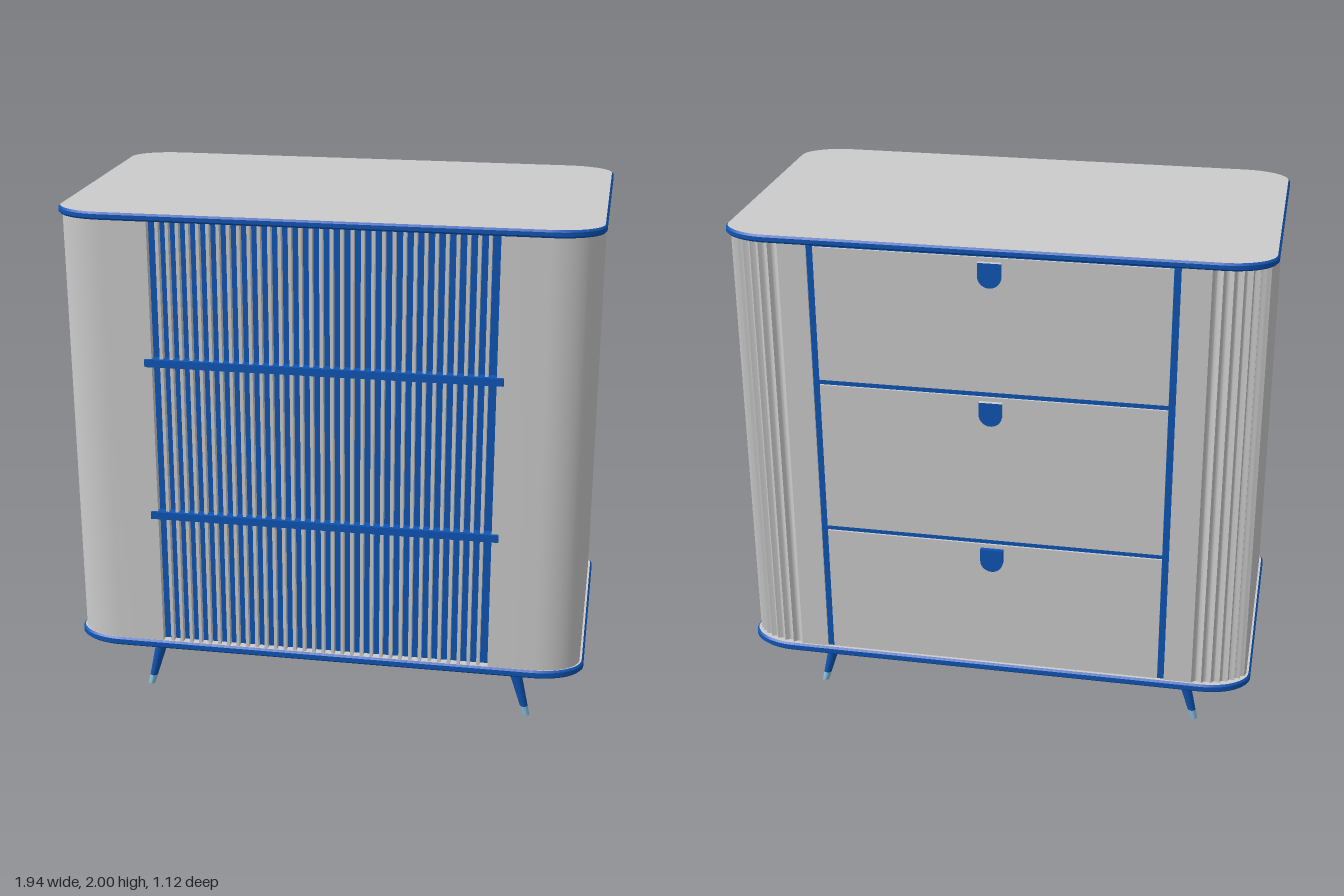
import * as THREE from 'three';
import { toCreasedNormals } from 'three/addons/utils/BufferGeometryUtils.js';

const grey = new THREE.MeshStandardMaterial({ color: 0xcccccc });
const blue = new THREE.MeshStandardMaterial({ color: 0x0f55b5 });
const pale = new THREE.MeshStandardMaterial({ color: 0x8cc4e4 });

const FLOOR = 0.34, CEIL = 1.975;      // inside faces of the two slabs
const DIVIDERS = [0.862, 1.455];       // heights between the three tiers

function add(parent, name, geometry, material, x = 0, y = 0, z = 0) {
  const mesh = new THREE.Mesh(geometry, material);
  mesh.name = name;
  mesh.position.set(x, y, z);
  parent.add(mesh);
  return mesh;
}

// Box given by its limits
function block(parent, name, material, x0, x1, y0, y1, z0, z1) {
  return add(parent, name, new THREE.BoxGeometry(x1 - x0, y1 - y0, z1 - z0), material,
    (x0 + x1) / 2, (y0 + y1) / 2, (z0 + z1) / 2);
}

// Extrude a plan outline of [x, z] points upwards from y = 0
function extrudePlan(points, height, bevel = 0) {
  const shape = new THREE.Shape(points.map(([x, z]) => new THREE.Vector2(x, -z)));
  const geometry = new THREE.ExtrudeGeometry(shape, {
    depth: height - 2 * bevel, bevelEnabled: bevel > 0, bevelThickness: bevel,
    bevelSize: bevel, bevelOffset: -bevel, bevelSegments: 1,
  });
  geometry.translate(0, 0, bevel);
  geometry.rotateX(-Math.PI / 2);
  return toCreasedNormals(geometry, 0.5);
}

// Elliptical quarter corner at +x; side is +1 for front, -1 for back
function corner(w, d, rx, rz, side, steps, groove = () => 0) {
  return Array.from({ length: steps + 1 }, (_, i) => {
    const a = (Math.PI / 2) * (1 - i / steps), g = groove(i / steps);
    return [w - rx + (rx - g) * Math.cos(a), side * (d - rz + (rz - g) * Math.sin(a))];
  });
}

// Close a half outline (front centre to back centre) by mirroring it
const mirrored = (half) => [...half, ...half.map(([x, z]) => [-x, z]).reverse()];

function slab(parent, name, y, height) {
  const half = [
    ...corner(0.97, 0.558, 0.18, 0.12, 1, 14),
    ...corner(0.97, 0.558, 0.18, 0.12, -1, 14).reverse(),
  ];
  add(parent, name, extrudePlan(mirrored(half), height, 0.007), [grey, blue], 0, y, 0);
}

function cabinet(parent) {
  // Recessed bays front and back, ribbed rear corners
  const flute = (t) => (t > 0.82 ? 0 : 0.013 * Math.abs(Math.sin((t / 0.82) * 7 * Math.PI)));
  const half = [
    [0.62, 0.515], [0.62, 0.55],
    ...corner(0.955, 0.55, 0.17, 0.11, 1, 14),
    ...corner(0.955, 0.545, 0.2, 0.11, -1, 68, flute).reverse(),
    [0.652, -0.545], [0.652, -0.52],
  ];
  add(parent, 'cabinetBody', extrudePlan(mirrored(half), CEIL - FLOOR + 0.004), grey, 0, FLOOR - 0.002, 0);
}

function slattedFront(parent) {
  const group = new THREE.Group();
  group.name = 'slattedFront';
  parent.add(group);
  block(group, 'slatBacking', blue, -0.62, 0.62, FLOOR, CEIL, 0.51, 0.522);
  for (let i = -16; i <= 16; i++) {
    const x = i * 0.0365;
    block(group, 'slat', grey, x - 0.006, x + 0.006, FLOOR, CEIL, 0.52, 0.548);
  }
  for (const y of DIVIDERS) block(group, 'frontRail', blue, -0.645, 0.645, y - 0.014, y + 0.014, 0.52, 0.56);
}

// Tab with a flat top and a round lower end, facing backwards
function pullGeometry() {
  const r = 0.042, shape = new THREE.Shape();
  shape.moveTo(-r, 0.045);
  shape.lineTo(-r, -0.003);
  shape.absarc(0, -0.003, r, Math.PI, 2 * Math.PI, false);
  shape.lineTo(r, 0.045);
  const geometry = new THREE.ExtrudeGeometry(shape, { depth: 0.022, bevelEnabled: false, curveSegments: 16 });
  return geometry.rotateY(Math.PI);
}

function drawers(parent) {
  const group = new THREE.Group();
  group.name = 'drawers';
  parent.add(group);
  block(group, 'drawerFrame', blue, -0.652, 0.652, FLOOR, CEIL, -0.538, -0.515);
  const edges = [FLOOR, ...DIVIDERS, CEIL], pull = pullGeometry();
  for (let i = 0; i < 3; i++) {
    const y0 = edges[i] + (i ? 0.01 : 0.004), y1 = edges[i + 1] - 0.01;
    block(group, 'drawerFront', grey, -0.627, 0.627, y0, y1, -0.546, -0.53);
    add(group, 'drawerPull', pull, i ? [blue, grey] : blue, 0, y1 - 0.06, -0.54);
  }
}

// Splayed tapered leg with a pale tip; side is the sign of x
function leg(parent, side, z) {
  const group = new THREE.Group();
  group.name = 'leg';
  parent.add(group);
  const section = (name, y0, y1, material) => {
    const radius = (y) => 0.013 + (y / 0.32) * 0.019;
    const geometry = new THREE.CylinderGeometry(radius(y1), radius(y0), y1 - y0, 20);
    geometry.translate(0, (y0 + y1) / 2, 0);
    // Shear outwards so both ends stay level
    const p = geometry.attributes.position;
    for (let i = 0; i < p.count; i++) p.setX(i, p.getX(i) + side * (0.757 - 0.265 * p.getY(i)));
    geometry.computeVertexNormals();
    add(group, name, geometry, material, 0, 0, z);
  };
  section('legShaft', 0.04, 0.32, blue);
  section('legTip', 0, 0.04, pale);
}

export function createModel() {
  const model = new THREE.Group();
  model.name = 'chestOfDrawers';
  slab(model, 'topSlab', 1.972, 0.028);
  slab(model, 'baseSlab', 0.308, 0.032);
  cabinet(model);
  slattedFront(model);
  drawers(model);
  for (const side of [-1, 1]) for (const z of [-0.278, 0.282]) leg(model, side, z);
  return model;
}
